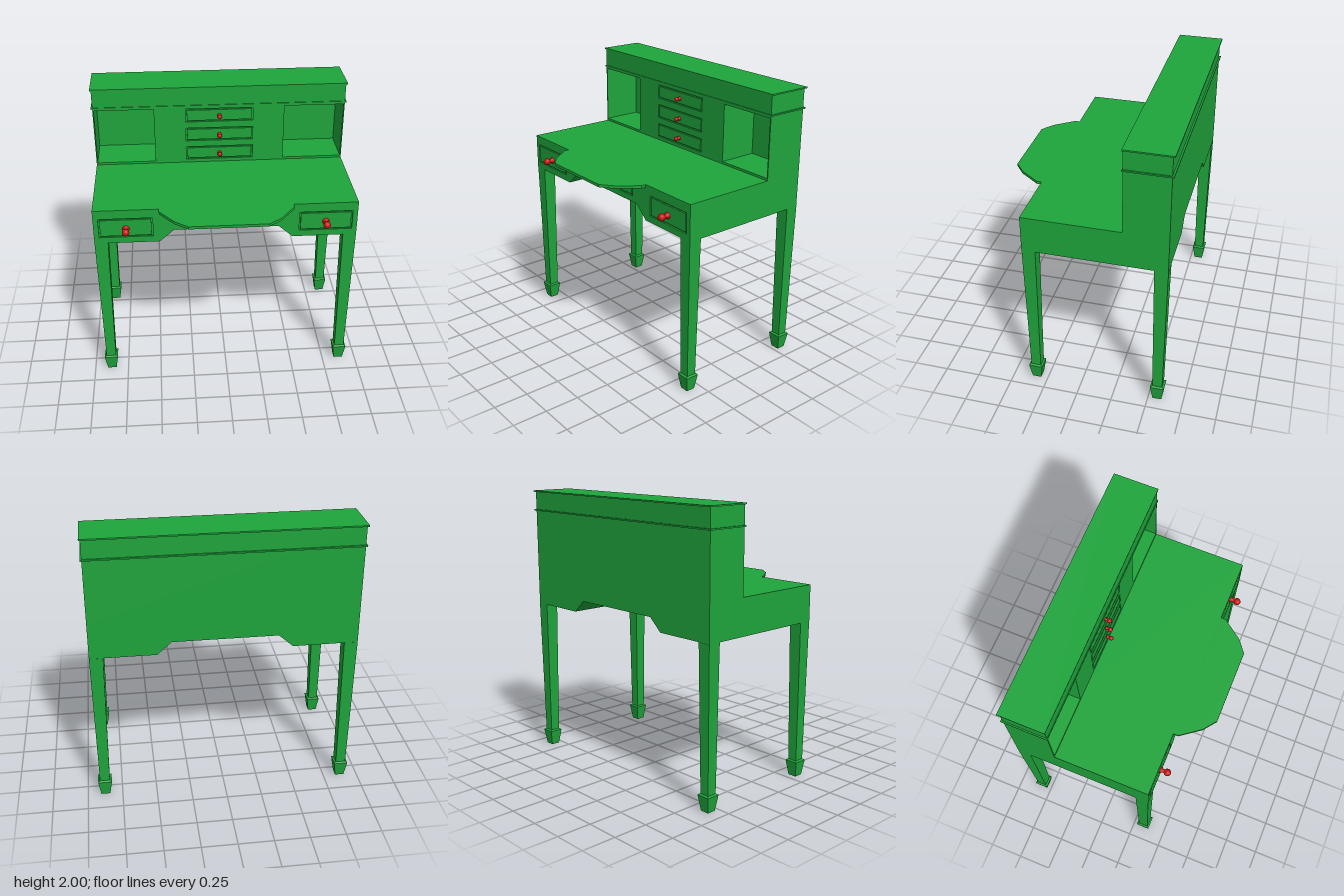
import * as THREE from 'three';

const green = new THREE.MeshStandardMaterial({ color: 0x1fa53c, flatShading: true });
const red = new THREE.MeshStandardMaterial({ color: 0xcc1414 });

function polygon(points) {
  return new THREE.Shape(points.map(([x, y]) => new THREE.Vector2(x, y)));
}

function rectangle([x0, x1, y0, y1]) {
  return polygon([[x0, y0], [x1, y0], [x1, y1], [x0, y1]]);
}

export function createModel() {
  const desk = new THREE.Group();
  desk.name = 'writingDesk';

  function add(name, geometry, material = green, parent = desk) {
    const mesh = new THREE.Mesh(geometry, material);
    mesh.name = name;
    parent.add(mesh);
    return mesh;
  }

  function box(name, x0, x1, y0, y1, z0, z1) {
    add(name, new THREE.BoxGeometry(x1 - x0, y1 - y0, z1 - z0))
      .position.set((x0 + x1) / 2, (y0 + y1) / 2, (z0 + z1) / 2);
  }

  // Board cut in the xy plane, with rectangular holes
  function board(name, shape, holes, z0, z1) {
    shape.holes = holes.map(rectangle);
    const geometry = new THREE.ExtrudeGeometry(shape, { depth: z1 - z0, bevelEnabled: false });
    add(name, geometry.translate(0, 0, z0));
  }

  // Drawer front set inside its opening with a narrow groove around it
  function drawerFront([x0, x1, y0, y1], z, gap = 0.01) {
    box('drawerFront', x0 + gap, x1 - gap, y0 + gap, y1 - gap, z - 0.015, z);
  }

  // Turned knob pointing forward
  function knob(x, y, z, scale) {
    const profile = [new THREE.Vector2(0.025, 0), new THREE.Vector2(0.021, 0.008),
      new THREE.Vector2(0.012, 0.02), new THREE.Vector2(0.014, 0.03)];
    for (let i = 0; i <= 8; i++) {
      const a = -0.9 + (i / 8) * (0.9 + Math.PI / 2);
      profile.push(new THREE.Vector2(Math.max(0, 0.026 * Math.cos(a)), 0.051 + 0.026 * Math.sin(a)));
    }
    const geometry = new THREE.LatheGeometry(profile, 20).rotateX(Math.PI / 2);
    const mesh = add('knob', geometry, red);
    mesh.scale.setScalar(scale);
    mesh.position.set(x, y, z);
  }

  // Four-sided tapered block
  function taper(name, parent, bottom, top, y0, y1) {
    const geometry = new THREE.CylinderGeometry(top / Math.SQRT2, bottom / Math.SQRT2, y1 - y0, 4);
    geometry.rotateY(Math.PI / 4).translate(0, (y0 + y1) / 2, 0);
    add(name, geometry, green, parent);
  }

  // Legs with spade feet
  for (const x of [-0.873, 0.873]) {
    for (const z of [0.332, -0.564]) {
      const leg = new THREE.Group();
      leg.name = 'leg';
      leg.position.set(x, 0, z);
      taper('legShaft', leg, 0.07, 0.094, 0.11, 1.14);
      taper('footCollar', leg, 0.098, 0.076, 0.113, 0.121);
      taper('foot', leg, 0.064, 0.098, 0, 0.113);
      desk.add(leg);
    }
  }

  // Desk case with a raised knee space
  const deskFront = 0.38;
  const apron = () => polygon([[-0.92, 1.14], [-0.465, 1.14], [-0.365, 1.23], [0.365, 1.23],
    [0.465, 1.14], [0.92, 1.14], [0.92, 1.4], [-0.92, 1.4]]);
  const deskDrawers = [[-0.885, -0.51, 1.187, 1.333], [0.51, 0.885, 1.187, 1.333],
    [-0.322, 0.318, 1.272, 1.336]];
  board('deskCase', apron(), [], -0.61, deskFront - 0.012);
  board('deskFacing', apron(), deskDrawers, deskFront - 0.012, deskFront);
  deskDrawers.forEach(d => drawerFront(d, deskFront));
  knob(-0.697, 1.253, deskFront, 1);
  knob(0.697, 1.253, deskFront, 1);
  knob(0, 1.3, deskFront, 0.64);

  // Shaped writing slide
  const slideShape = polygon([[-0.465, -0.36], [-0.465, -0.415], [-0.36, -0.555], [-0.27, -0.625],
    [0.27, -0.625], [0.36, -0.555], [0.465, -0.415], [0.465, -0.36]]);
  const slide = add('writingSlide',
    new THREE.ExtrudeGeometry(slideShape, { depth: 0.02, bevelEnabled: false }));
  slide.rotation.x = -Math.PI / 2;
  slide.position.y = 1.38;

  // Upper cabinet with open cubbies and three small drawers
  const cabinetFront = -0.304;
  const cubbies = [[-0.912, -0.48, 1.417, 1.835], [0.475, 0.912, 1.417, 1.835]];
  const smallDrawers = [1.425, 1.576, 1.728].map(y => [-0.25, 0.245, y, y + 0.102]);
  const cabinet = () => rectangle([-0.92, 0.92, 1.4, 1.99]);
  box('cabinetBack', -0.92, 0.92, 1.4, 1.99, -0.61, -0.597);
  board('cabinetCase', cabinet(), cubbies, -0.597, cabinetFront - 0.012);
  board('cabinetFacing', cabinet(), [...cubbies, ...smallDrawers], cabinetFront - 0.012, cabinetFront);
  for (const drawer of smallDrawers) {
    drawerFront(drawer, cabinetFront);
    knob(-0.0025, (drawer[2] + drawer[3]) / 2 - 0.004, cabinetFront, 0.62);
  }

  // Thin mouldings and cabinet top
  box('moulding', -0.93, 0.93, 1.85, 1.86, -0.622, -0.298);
  box('cabinetTop', -0.93, 0.93, 1.99, 2, -0.625, -0.298);

  return desk;
}
